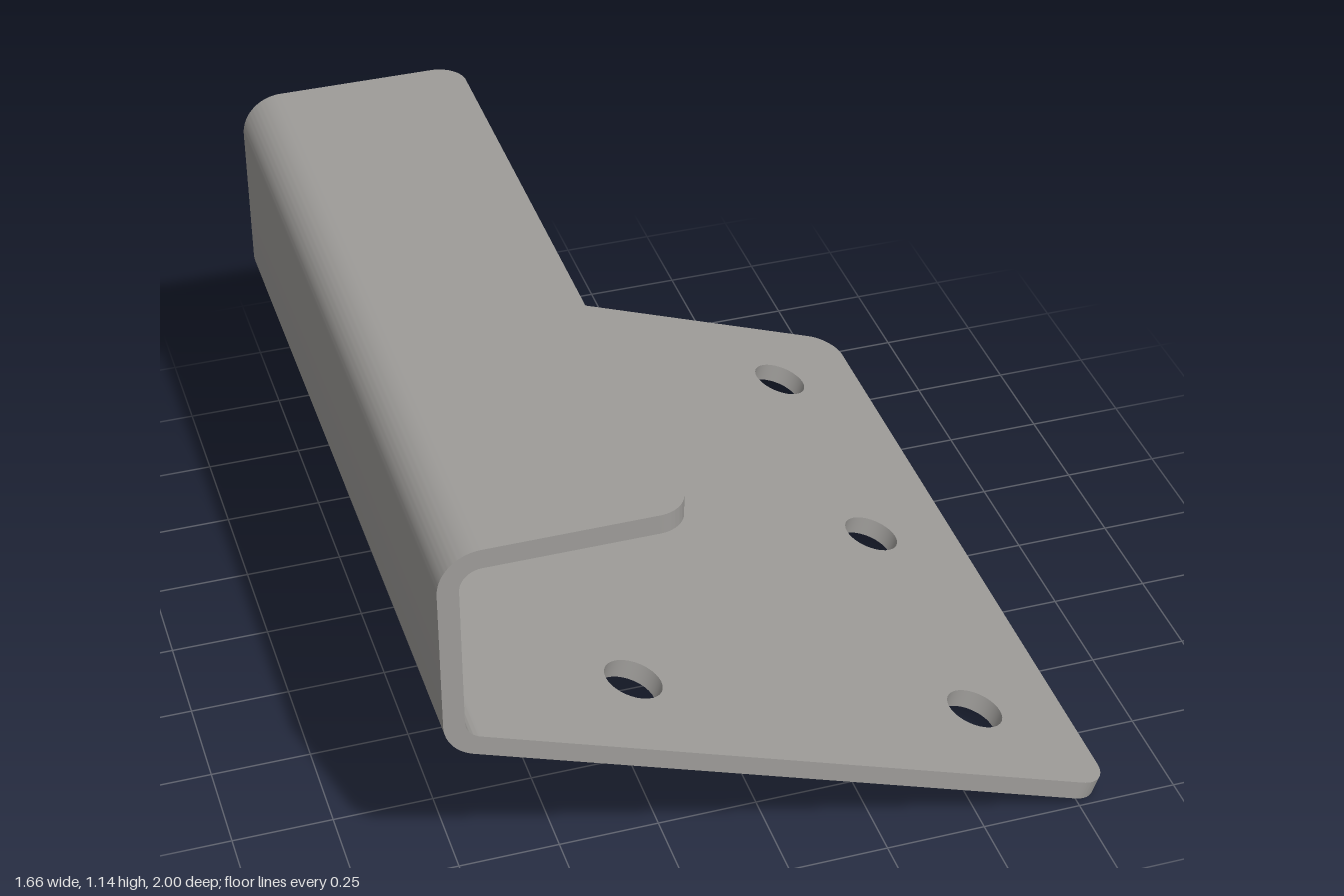
import * as THREE from 'three';
import { toCreasedNormals } from 'three/addons/utils/BufferGeometryUtils.js';

const T = 0.05;                       // sheet thickness
const RI = 0.053, RO = RI + T;        // bend radii
const TILT = THREE.MathUtils.degToRad(20);
const LEFT = -0.828, RIGHT = 0.828, TOP = 1.144;
const HALF = 1;                       // half length along z

export function createModel() {
  const steel = new THREE.MeshStandardMaterial({ color: 0x9e9c99 });
  steel.name = 'steel grey';
  const group = new THREE.Group();
  group.name = 'bracket';

  const add = (name, geometry) => {
    const mesh = new THREE.Mesh(toCreasedNormals(geometry, 0.5), steel);
    mesh.name = name;
    group.add(mesh);
    return mesh;
  };

  // Flat sheet running along +x with two rounded outer corners and round holes
  const plate = (length, r, holes = []) => {
    const s = new THREE.Shape();
    s.moveTo(0, -HALF);
    s.lineTo(length - r, -HALF);
    s.absarc(length - r, -HALF + r, r, -Math.PI / 2, 0, false);
    s.lineTo(length, HALF - r);
    s.absarc(length - r, HALF - r, r, 0, Math.PI / 2, false);
    s.lineTo(0, HALF);
    s.closePath();
    for (const [u, v] of holes) {
      const h = new THREE.Path();
      h.absarc(u, v, 0.073, 0, Math.PI * 2, true);
      s.holes.push(h);
    }
    const g = new THREE.ExtrudeGeometry(s, { depth: T, bevelEnabled: false, curveSegments: 16 });
    return g.rotateX(-Math.PI / 2);
  };

  // Bend centres: upper one under the flange, lower one above the sloped sheet
  const cx = LEFT + RO;
  const upperY = TOP - RO;
  const endTopY = T * Math.cos(TILT);
  const lowerY = endTopY + (RIGHT - cx) * Math.tan(TILT) + RI / Math.cos(TILT);

  // Upright web with both bends, swept along z
  const a = Math.PI * 1.5 - TILT;
  const web = new THREE.Shape();
  web.moveTo(cx, TOP);
  web.absarc(cx, upperY, RO, Math.PI / 2, Math.PI, false);
  web.absarc(cx, lowerY, RO, Math.PI, a, false);
  web.absarc(cx, lowerY, RI, a, Math.PI, true);
  web.absarc(cx, upperY, RI, Math.PI, Math.PI / 2, true);
  web.closePath();
  const webGeometry = new THREE.ExtrudeGeometry(web, { depth: 2 * HALF, bevelEnabled: false, curveSegments: 12 });
  add('uprightWeb', webGeometry.translate(0, 0, -HALF));

  // Short top flange
  add('topFlange', plate(-0.248 - cx, 0.075)).position.set(cx, TOP - T, 0);

  // Long sloped sheet with two rows of three holes
  const startX = cx + RO * Math.cos(a), startY = lowerY + RO * Math.sin(a);
  const length = (RIGHT - (cx + RI * Math.cos(a))) / Math.cos(TILT);
  const holes = [];
  for (const fromEnd of [0.272, 1.207])
    for (const z of [-0.735, 0, 0.735]) holes.push([length - fromEnd, z]);
  const slope = add('slopedPlate', plate(length, 0.08, holes));
  slope.position.set(startX, startY, 0);
  slope.rotation.z = -TILT;

  return group;
}
